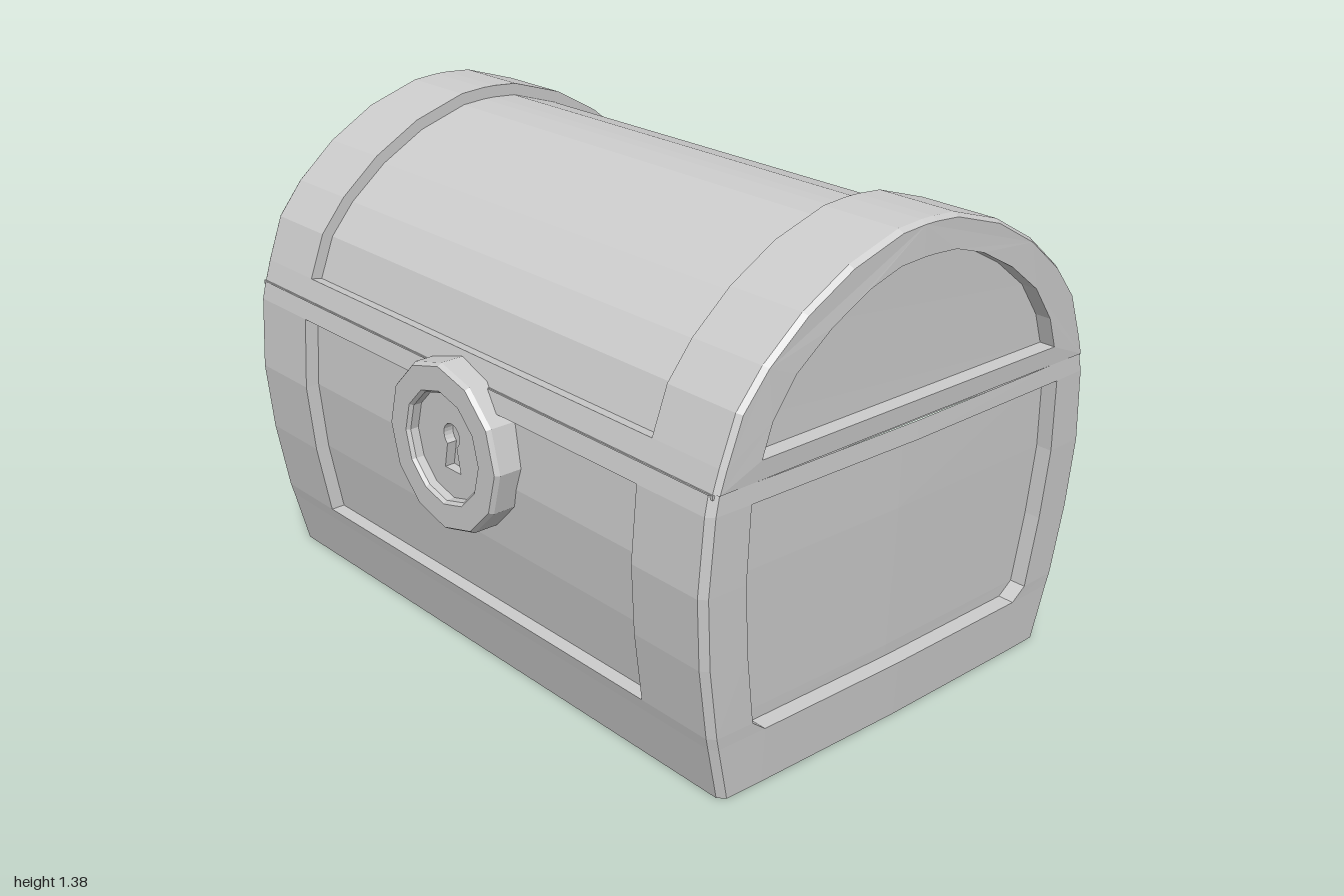
import * as THREE from 'three';

const material = new THREE.MeshStandardMaterial({ color: 0xcccccc, flatShading: true });
const SIDE_DEPTH = 0.042;
const END_DEPTH = 0.048;

// Both ends swell slightly towards the middle
const swell = (x) => 0.014 * (x / 0.68) ** 2;

// Grid of quads in which some cells are sunk; rims join cells of different depth.
// point(i, j, depth) gives [x, y, z]; u cross v faces outwards.
function recessedGrid(nu, nv, sunk, depth, point) {
  const pos = [];
  const quad = (a, b, c, d) => pos.push(...a, ...b, ...c, ...a, ...c, ...d);
  const at = (i, j) => (sunk(i, j) ? depth : 0);
  for (let i = 0; i < nu - 1; i++) {
    for (let j = 0; j < nv - 1; j++) {
      const d = at(i, j);
      quad(point(i, j, d), point(i + 1, j, d), point(i + 1, j + 1, d), point(i, j + 1, d));
      if (i > 0 && at(i - 1, j) !== d) {
        const a = at(i - 1, j);
        quad(point(i, j, a), point(i, j, d), point(i, j + 1, d), point(i, j + 1, a));
      }
      if (j > 0 && at(i, j - 1) !== d) {
        const a = at(i, j - 1);
        quad(point(i, j, a), point(i + 1, j, a), point(i + 1, j, d), point(i, j, d));
      }
    }
  }
  const g = new THREE.BufferGeometry();
  g.setAttribute('position', new THREE.Float32BufferAttribute(pos, 3));
  g.computeVertexNormals();
  return g;
}

function addMesh(parent, name, geometry) {
  const mesh = new THREE.Mesh(geometry, material);
  mesh.name = name;
  parent.add(mesh);
  return mesh;
}

// Arch outline from left foot to right foot, given its right half from foot to crown
function arch(half) {
  return [...half.map(([x, y]) => [-x, y]), ...half.slice().reverse()];
}
const toPoints = (list) => list.map(([x, y]) => new THREE.Vector2(x, y));

function createBody() {
  const body = new THREE.Group();
  body.name = 'body';
  // Rows: height, half width, half length, half width of end panel, half length of side panel
  const rows = [
    [0, 0.612, 0.964, 0.48, 0.71],
    [0.16, 0.65, 0.974, 0.48, 0.71],
    [0.195, 0.659, 0.977, 0.525, 0.71],
    [0.4, 0.692, 0.986, 0.555, 0.72],
    [0.6, 0.707, 0.994, 0.572, 0.727],
    [0.808, 0.692, 0.998, 0.565, 0.73],
    [0.86, 0.68, 0.996, 0.56, 0.73],
  ];
  const bevel = 0.018;
  const cornerZ = (w, l) => l - swell(w) - bevel;

  // End walls carry the bevelled corners
  const endWall = recessedGrid(7, rows.length, (i, j) => (i === 2 || i === 3) && j >= 1 && j <= 4, END_DEPTH,
    (i, j, d) => {
      const [y, w, l, p] = rows[j];
      const x = [-w, bevel - w, -p, 0, p, w - bevel, w][i];
      return [x, y, (i === 0 || i === 6 ? cornerZ(w, l) : l - swell(x)) - d];
    });
  const sideWall = recessedGrid(4, rows.length, (i, j) => i === 1 && j >= 2 && j <= 4, SIDE_DEPTH, (i, j, d) => {
    const [y, w, l, , p] = rows[j];
    return [w - d, y, [cornerZ(w, l), p, -p, -cornerZ(w, l)][i]];
  });
  addMesh(body, 'frontWall', endWall);
  addMesh(body, 'backWall', endWall).rotation.y = Math.PI;
  addMesh(body, 'leftWall', sideWall);
  addMesh(body, 'rightWall', sideWall).rotation.y = Math.PI;

  // Underside with a sunk panel, its outer edge following the foot of the walls
  const [, w0, l0] = rows[0];
  const bx = [-w0, bevel - w0, -0.38, 0, 0.38, w0 - bevel, w0];
  const bz = [-1, -0.7, 0.7, 1];
  addMesh(body, 'base', recessedGrid(7, 4, (i, j) => (i === 2 || i === 3) && j === 1, 0.03, (i, j, d) => {
    const edge = i === 0 || i === 6 ? cornerZ(w0, l0) : l0 - swell(bx[i]);
    return [bx[i], d, Math.abs(bz[j]) === 1 ? bz[j] * edge : bz[j]];
  }));

  // Flat rim closing the top of the body
  addMesh(body, 'topRim', new THREE.BoxGeometry(1.355, 0.012, 1.95)).position.y = 0.855;
  return body;
}

function createLid() {
  const lid = new THREE.Group();
  lid.name = 'lid';
  const outer = arch([[0.674, 0.86], [0.655, 0.92], [0.608, 1.045], [0.53, 1.14],
    [0.41, 1.24], [0.265, 1.322], [0.1, 1.374], [0.02, 1.38]]);
  const inset = ([x, y], d) => {
    const r = Math.hypot(x, y - 0.8);
    return [x - (x / r) * d, y < 0.87 ? y : y - ((y - 0.8) / r) * d];
  };

  // Curved top: raised bands at both ends and along the foot
  const zs = [-1, -0.985, -0.743, 0.743, 0.985, 1];
  const n = outer.length;
  addMesh(lid, 'curvedTop', recessedGrid(zs.length, n, (i, j) => i === 2 && j >= 1 && j <= n - 3, 0.035,
    (i, j, d) => {
      const [x, y] = inset(outer[j], d + (i === 0 || i === 5 ? 0.01 : 0));
      const z = zs[i];
      return [x, y, Math.abs(z) > 0.9 ? z - Math.sign(z) * swell(x) : z];
    }));

  // Ends: arched frame around a sunk panel
  const inner = toPoints(arch([[0.537, 0.913], [0.507, 1.0], [0.435, 1.1], [0.325, 1.185],
    [0.205, 1.25], [0.1, 1.283], [0.02, 1.288]]));
  const frame = new THREE.Shape(toPoints(outer.map((p) => inset(p, 0.01))));
  frame.holes.push(new THREE.Path(inner.slice().reverse()));
  const swollen = (g) => {
    const p = g.attributes.position;
    for (let i = 0; i < p.count; i++) p.setZ(i, p.getZ(i) - swell(p.getX(i)));
    return g;
  };
  const frameGeometry = swollen(new THREE.ExtrudeGeometry(frame, { depth: END_DEPTH, bevelEnabled: false }));
  const panelGeometry = swollen(new THREE.ShapeGeometry(new THREE.Shape(inner)));
  for (const [name, turn] of [['frontEnd', 0], ['backEnd', Math.PI]]) {
    const end = new THREE.Group();
    end.name = name;
    addMesh(end, 'archFrame', frameGeometry).position.z = 1 - END_DEPTH;
    addMesh(end, 'archPanel', panelGeometry).position.z = 1 - END_DEPTH + 0.001;
    end.rotation.y = turn;
    lid.add(end);
  }
  return lid;
}

function createLock() {
  const lock = new THREE.Group();
  lock.name = 'lock';

  // Round rim
  const profile = [[0.24, 0.58], [0.24, 0.727], [0.232, 0.74], [0.163, 0.74], [0.155, 0.73], [0.155, 0.66]];
  addMesh(lock, 'lockRim', new THREE.LatheGeometry(toPoints(profile), 12).rotateX(Math.PI / 2));

  // Plate with a keyhole cut through it
  const plate = new THREE.Shape().absarc(0, 0, 0.158, 0, Math.PI * 2);
  const keyhole = new THREE.Path();
  keyhole.absarc(0, 0.025, 0.035, -Math.PI * 0.3, Math.PI * 1.3);
  keyhole.lineTo(-0.035, -0.075);
  keyhole.lineTo(0.035, -0.075);
  keyhole.closePath();
  plate.holes.push(keyhole);
  addMesh(lock, 'lockPlate', new THREE.ExtrudeGeometry(plate,
    { depth: 0.03, bevelEnabled: false, curveSegments: 8 })).position.z = 0.675;
  addMesh(lock, 'keyholeBack', new THREE.CircleGeometry(0.15, 12)).position.z = 0.676;

  lock.rotation.y = -Math.PI / 2;
  lock.position.y = 0.664;
  return lock;
}

export function createModel() {
  const chest = new THREE.Group();
  chest.name = 'chest';
  chest.add(createBody(), createLid(), createLock());
  chest.position.x = 0.014;
  return chest;
}
